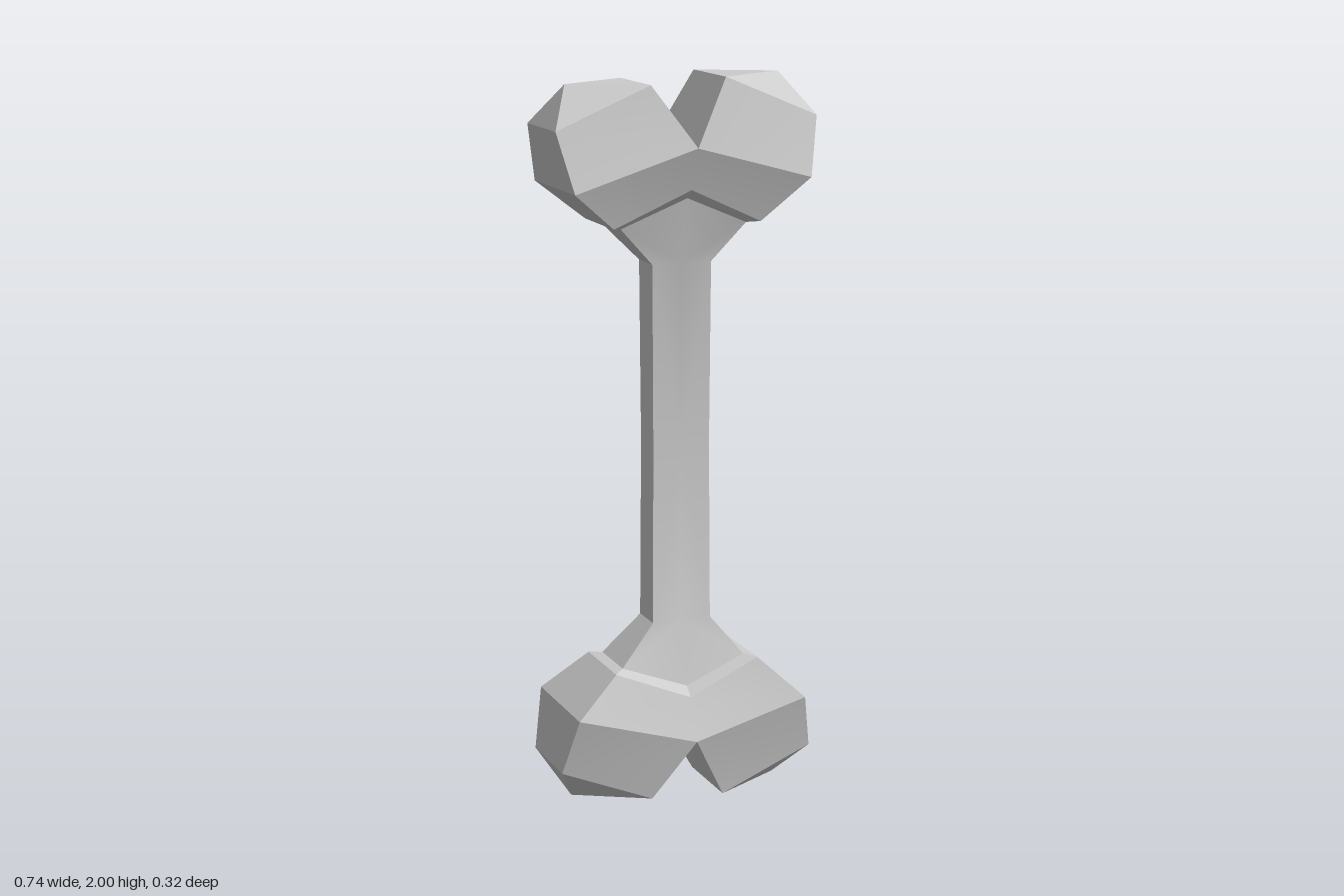
import * as THREE from 'three';
import { toCreasedNormals } from 'three/addons/utils/BufferGeometryUtils.js';

const MID = 0.01; // x of the seam between the two knuckles

// Each section is a rectangle for one quarter of the bone, heights measured from y = 1:
// xi, hi = inner edge; xo, ho = outer edge; z = half depth; cx, cz = offsets; drop = left side is shorter
const SHAFT = [
  { hi: 0, xo: 0.082, ho: 0, z: 0.046, cx: MID, cz: -0.008 },
  { hi: 0.5, xo: 0.085, ho: 0.5, z: 0.049, cx: MID, cz: -0.008 },
  { hi: 0.68, xo: 0.18, ho: 0.607, z: 0.08 },
];
const KNUCKLE = [
  SHAFT[2],
  { hi: 0.705, xo: 0.21, ho: 0.612, z: 0.11 },
  { hi: 0.82, xo: 0.335, ho: 0.73, z: 0.16, drop: 0.015 },
  { xi: 0.106, hi: 1, xo: 0.37, ho: 0.89, z: 0.112, drop: 0.015 },
  { xi: 0.305, hi: 1, xo: 0.305, ho: 1, z: 0, drop: 0.015 },
];

// Corners of a section: inner back, inner front, outer front, outer back
function corners(s, sx, sy) {
  const { cx = 0, cz = 0, drop = 0 } = s;
  const d = sx < 0 ? drop : 0;
  const split = s.xi !== undefined;
  const inX = split ? sx * s.xi : MID;
  const inY = 1 + sy * (s.hi - (split ? d : 0));
  const outX = cx + sx * s.xo;
  const outY = 1 + sy * (s.ho - d);
  // the shared seam is slightly shallower at the widest section
  const zi = Math.min(s.z, 0.156);
  return [[inX, inY, cz - zi], [inX, inY, cz + zi], [outX, outY, cz + s.z], [outX, outY, cz - s.z]];
}

// Joins the sections of one quarter, leaving the seam open below the knuckle split
function loft(out, sections, sx, sy) {
  const tri = (a, b, c) => out.push(...(sx * sy > 0 ? [a, b, c] : [a, c, b]).flat());
  for (let i = 0; i < sections.length - 1; i++) {
    const lo = corners(sections[i], sx, sy);
    const hi = corners(sections[i + 1], sx, sy);
    const split = sections[i + 1].xi !== undefined;
    for (let j = split ? 0 : 1; j < 4; j++) {
      const k = (j + 1) % 4;
      tri(lo[j], lo[k], hi[k]);
      if (sections[i + 1].z > 0) tri(lo[j], hi[k], hi[j]);
    }
  }
}

export function createModel() {
  const group = new THREE.Group();
  group.name = 'bone';
  const material = new THREE.MeshStandardMaterial({ color: 0xcccccc });

  const addPart = (name, sections, ends) => {
    const positions = [];
    for (const sy of ends) for (const sx of [1, -1]) loft(positions, sections, sx, sy);
    const geometry = new THREE.BufferGeometry();
    geometry.setAttribute('position', new THREE.Float32BufferAttribute(positions, 3));
    const mesh = new THREE.Mesh(toCreasedNormals(geometry, Math.PI / 7), material);
    mesh.name = name;
    group.add(mesh);
  };

  addPart('shaft', SHAFT, [1, -1]);
  addPart('upperKnuckles', KNUCKLE, [1]);
  addPart('lowerKnuckles', KNUCKLE, [-1]);
  return group;
}
